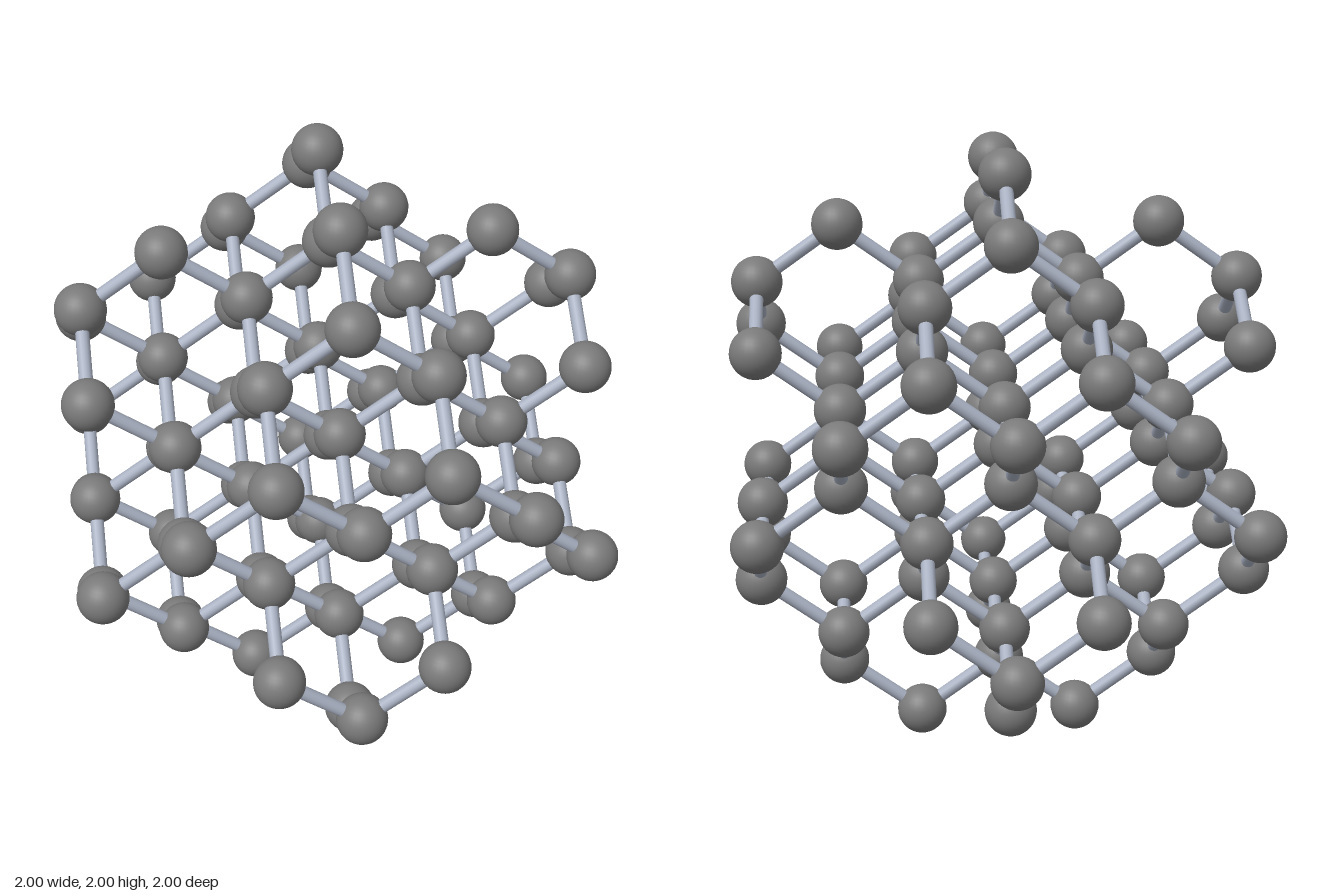
import * as THREE from 'three';

const STEP = 0.1835;        // quarter of the cubic cell edge
const ATOM_RADIUS = 0.0825;
const BOND_RADIUS = 0.022;
const CUTOFF = 27;          // squared radius of the cluster, in steps

const mod4 = (n) => ((n % 4) + 4) % 4;

// Diamond lattice sites inside a sphere centred on an atom
function latticeSites() {
  const even = [], odd = [];
  for (let x = -5; x <= 5; x++)
    for (let y = -5; y <= 5; y++)
      for (let z = -5; z <= 5; z++) {
        if (x * x + y * y + z * z > CUTOFF) continue;
        const parity = Math.abs(x % 2);
        if (Math.abs(y % 2) !== parity || Math.abs(z % 2) !== parity) continue;
        const sum = mod4(x + y + z);
        if (parity === 0 && sum === 0) even.push(new THREE.Vector3(x, y, z));
        if (parity === 1 && sum === 3) odd.push(new THREE.Vector3(x, y, z));
      }
  return { even, odd };
}

export function createModel() {
  const model = new THREE.Group();
  model.name = 'crystalLattice';
  const atoms = new THREE.Group();
  atoms.name = 'atoms';
  const bonds = new THREE.Group();
  bonds.name = 'bonds';
  model.add(atoms, bonds);

  const atomMaterial = new THREE.MeshStandardMaterial({ color: 0x7a7a7a });
  const bondMaterial = new THREE.MeshStandardMaterial({ color: 0xa9b1c2 });
  const atomGeometry = new THREE.SphereGeometry(ATOM_RADIUS, 28, 18);
  const bondGeometry = new THREE.CylinderGeometry(
    BOND_RADIUS, BOND_RADIUS, STEP * Math.sqrt(3), 14, 1, true);

  const { even, odd } = latticeSites();
  const up = new THREE.Vector3(0, 1, 0);

  // Atoms
  for (const site of [...even, ...odd]) {
    const atom = new THREE.Mesh(atomGeometry, atomMaterial);
    atom.name = 'atom';
    atom.position.copy(site).multiplyScalar(STEP);
    atoms.add(atom);
  }

  // Bonds join each even site to its nearest odd sites
  for (const a of even)
    for (const b of odd) {
      if (a.distanceToSquared(b) > 3.5) continue;
      const bond = new THREE.Mesh(bondGeometry, bondMaterial);
      bond.name = 'bond';
      bond.position.addVectors(a, b).multiplyScalar(STEP / 2);
      bond.quaternion.setFromUnitVectors(up, b.clone().sub(a).normalize());
      bonds.add(bond);
    }

  // Rest the cluster on the ground
  atoms.position.y = bonds.position.y = 5 * STEP + ATOM_RADIUS;
  return model;
}
